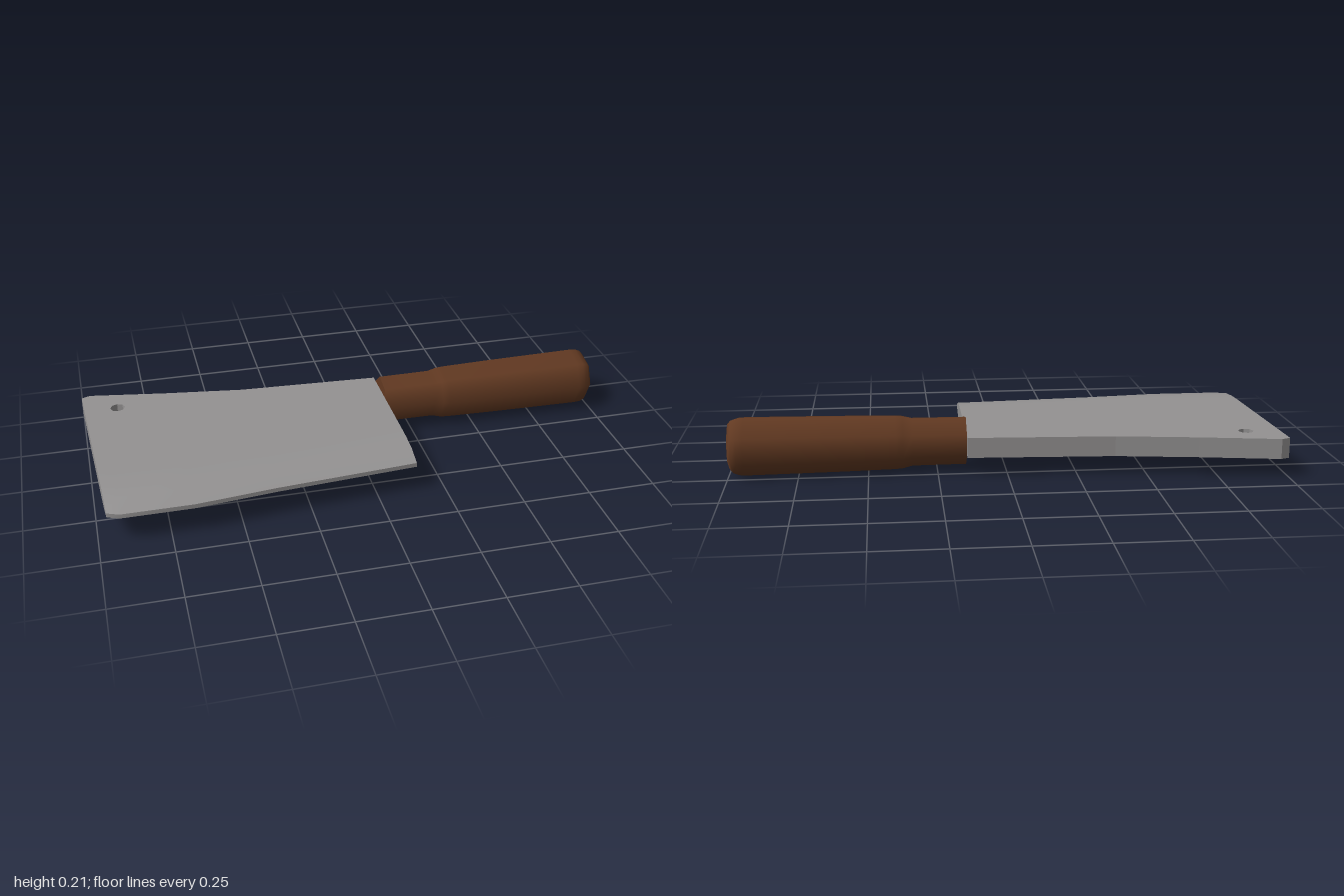
import * as THREE from 'three';
import { toCreasedNormals } from 'three/addons/utils/BufferGeometryUtils.js';

const MID = 0.111;   // height of the blade's middle plane
const HALF = 0.037;  // half thickness of the blade
const BEVEL = 0.21;  // depth of the ground bevel

const SPINE = [[0.145, -0.285], [-0.385, -0.313], [-0.68, -0.356], [-0.968, -0.406], [-1, -0.393]];
const EDGE = [[-0.963, 0.382], [-0.92, 0.4], [-0.663, 0.4], [-0.37, 0.368], [0.145, 0.329]];
// Distance back from the cutting edge, half thickness there
const GRIND = [[BEVEL, HALF], [0.14, 0.036], [0.07, 0.03], [0, 0.008]];

// Point on the bevel: the first column slides along the slanted tip of the blade
function bevelPoint(column, back) {
  const [x, z] = EDGE[column];
  return [column === 0 ? x - 0.0477 * back : x, z - back];
}

// Flat part of the blade with the hanging hole
function bladeBody() {
  const front = EDGE.map((_, i) => bevelPoint(i, BEVEL));
  const shape = new THREE.Shape([...SPINE, ...front].map(([x, z]) => new THREE.Vector2(x, z)));
  const hole = [];
  for (let i = 0; i < 8; i++) {
    const a = (i / 8) * Math.PI * 2;
    hole.push(new THREE.Vector2(-0.87 + 0.028 * Math.cos(a), -0.286 + 0.028 * Math.sin(a)));
  }
  shape.holes.push(new THREE.Path(hole));
  const geo = new THREE.ExtrudeGeometry(shape, { depth: HALF * 2, bevelEnabled: false });
  return geo.rotateX(Math.PI / 2).translate(0, MID + HALF, 0);
}

// Curved bevel: one ring over the cutting edge per column, joined and capped
function bladeBevel() {
  const ring = [
    ...GRIND.map(([back, h]) => [back, h]),
    ...[...GRIND].reverse().map(([back, h]) => [back, -h]),
  ];
  const n = ring.length, last = EDGE.length - 1;
  const position = [], index = [];
  EDGE.forEach((_, i) => {
    for (const [back, h] of ring) {
      const [x, z] = bevelPoint(i, back);
      position.push(x, MID + h, z);
    }
  });
  for (let i = 0; i < last; i++) {
    for (let j = 0; j < n - 1; j++) {
      const a = i * n + j, b = a + n;
      index.push(a, a + 1, b, a + 1, b + 1, b);
    }
  }
  for (let k = 1; k < n - 1; k++) {
    index.push(0, k + 1, k);
    index.push(last * n, last * n + k, last * n + k + 1);
  }
  const geo = new THREE.BufferGeometry();
  geo.setAttribute('position', new THREE.Float32BufferAttribute(position, 3));
  geo.setIndex(index);
  return toCreasedNormals(geo, 0.6);
}

// Seven-sided grip with a stepped collar and a rounded butt
function handleGeometry() {
  const profile = [
    [0, 0.145], [0.09, 0.145], [0.09, 0.145], [0.091, 0.34], [0.1, 0.375], [0.102, 0.4],
    [0.106, 0.6], [0.11, 0.94], [0.108, 0.965], [0.1, 0.985], [0.085, 0.997], [0, 1],
  ].map(([r, x]) => new THREE.Vector2(r, x));
  return new THREE.LatheGeometry(profile, 7).rotateZ(-Math.PI / 2);
}

export function createModel() {
  const steel = new THREE.MeshStandardMaterial({ color: 0x949292 });
  const wood = new THREE.MeshStandardMaterial({ color: 0x633a22 });
  const model = new THREE.Group();
  model.name = 'cleaver';
  const add = (parent, name, geometry, material) => {
    const mesh = new THREE.Mesh(geometry, material);
    mesh.name = name;
    parent.add(mesh);
    return mesh;
  };

  const blade = new THREE.Group();
  blade.name = 'blade';
  add(blade, 'bladeBody', bladeBody(), steel);
  add(blade, 'bladeBevel', bladeBevel(), steel);
  model.add(blade);

  add(model, 'handle', handleGeometry(), wood).position.set(0, 0.112, -0.173);
  return model;
}
